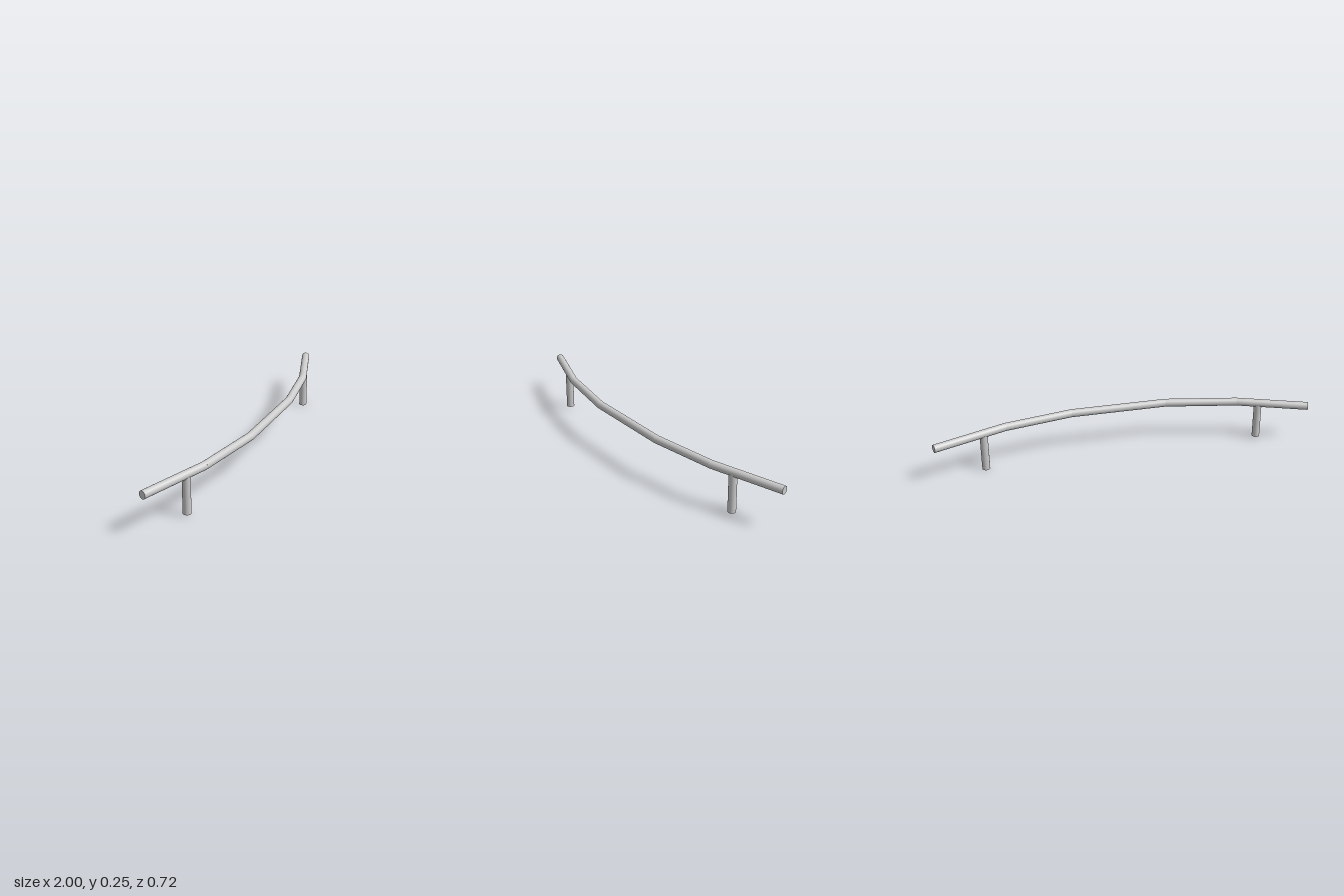
import * as THREE from 'three';

const RADIUS = 0.0222, SIDES = 32;
const UP = new THREE.Vector3(0, 1, 0);

// Open cylinder from a to b whose ends are slid along the axis onto mitre planes
function mitredRod(a, b, normalA, normalB) {
  const dir = b.clone().sub(a).normalize();
  const geometry = new THREE.CylinderGeometry(RADIUS, RADIUS, a.distanceTo(b), SIDES, 1, true);
  geometry.applyQuaternion(new THREE.Quaternion().setFromUnitVectors(UP, dir));
  const mid = a.clone().add(b).multiplyScalar(0.5);
  geometry.translate(mid.x, mid.y, mid.z);
  const pos = geometry.attributes.position, v = new THREE.Vector3();
  for (let i = 0; i < pos.count; i++) {
    v.fromBufferAttribute(pos, i);
    const atB = v.clone().sub(mid).dot(dir) > 0;
    const n = atB ? normalB : normalA;
    v.addScaledVector(dir, -v.clone().sub(atB ? b : a).dot(n) / dir.dot(n));
    pos.setXYZ(i, v.x, v.y, v.z);
  }
  return geometry;
}

export function createModel() {
  const model = new THREE.Group();
  const material = new THREE.MeshStandardMaterial({ color: 0xcccccc });
  const add = (parent, geometry, name) => {
    const mesh = new THREE.Mesh(geometry, material);
    mesh.name = name;
    parent.add(mesh);
    return mesh;
  };

  // Handrail: straight lengths mitred together along a bent path
  const path = [
    [-1, 0.219, 0.34], [-0.595, 0.225, 0.338], [-0.192, 0.23, 0.271],
    [0.32, 0.229, 0.092], [0.657, 0.2235, -0.092], [0.987, 0.213, -0.345],
  ].map(p => new THREE.Vector3(...p));
  const dirs = path.slice(1).map((p, i) => p.clone().sub(path[i]).normalize());
  const last = dirs.length - 1;
  const planes = path.map((_, i) =>
    dirs[Math.max(i - 1, 0)].clone().add(dirs[Math.min(i, last)]).normalize());
  const rail = new THREE.Group();
  rail.name = 'rail';
  dirs.forEach((_, i) =>
    add(rail, mitredRod(path[i], path[i + 1], planes[i], planes[i + 1]), 'railLength' + (i + 1)));

  // Flat discs closing the two rail ends
  const endCap = (point, outward, name) => {
    const cap = add(rail, new THREE.CircleGeometry(RADIUS, SIDES), name);
    cap.position.copy(point);
    cap.quaternion.setFromUnitVectors(new THREE.Vector3(0, 0, 1), outward);
  };
  endCap(path[0], dirs[0].clone().negate(), 'rightEndCap');
  endCap(path[last + 1], dirs[last], 'leftEndCap');
  model.add(rail);

  // Posts reaching up into the rail
  for (const [name, x, z, bottom, top] of [
    ['rightPost', -0.718, 0.339, 0.011, 0.215],
    ['leftPost', 0.759, -0.17, 0, 0.212],
  ]) {
    const post = add(model, new THREE.CylinderGeometry(0.0218, 0.0218, top - bottom, SIDES), name);
    post.position.set(x, (top + bottom) / 2, z);
  }
  return model;
}
